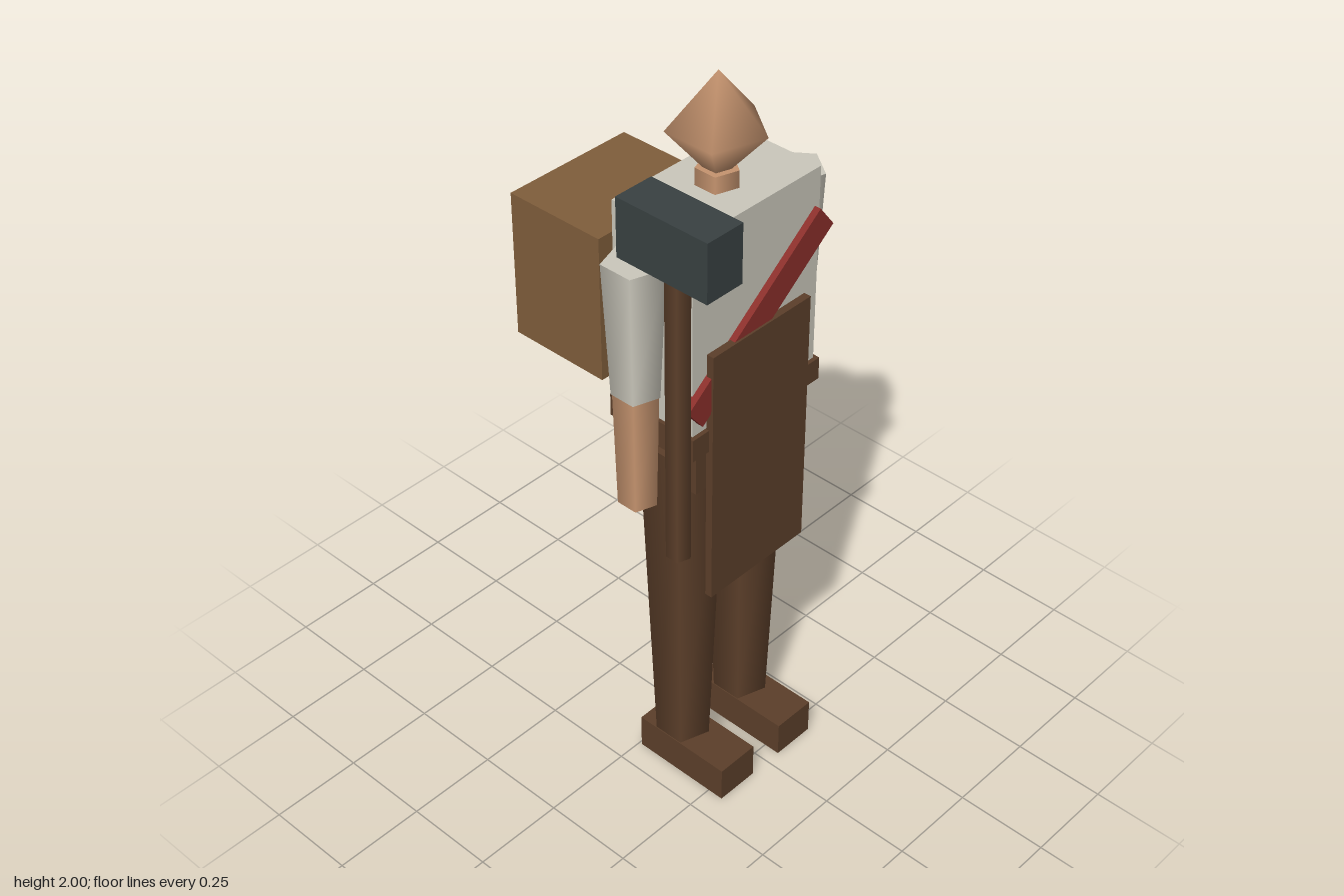
import * as THREE from 'three';

const material = (name, color) => {
  const m = new THREE.MeshStandardMaterial({ color });
  m.name = name;
  return m;
};

export function createModel() {
  const skin = material('skin', 0xc6946f);
  const shirt = material('linen', 0xcbc8bc);
  const leather = material('dark leather', 0x5c3f2a);
  const canvas = material('pack canvas', 0x805e3b);
  const red = material('red sash', 0x8b2f2b);
  const iron = material('iron', 0x394142);
  const brass = material('brass', 0x87673a);

  const model = new THREE.Group();
  model.name = 'smith';
  const CX = -0.008, CZ = 0.104; // body axis

  const add = (name, geometry, mat, x, y, z) => {
    const mesh = new THREE.Mesh(geometry, mat);
    mesh.name = name;
    mesh.position.set(x, y, z);
    model.add(mesh);
    return mesh;
  };
  // box given by its extents
  const box = (name, mat, x0, x1, y0, y1, z0, z1) =>
    add(name, new THREE.BoxGeometry(x1 - x0, y1 - y0, z1 - z0), mat,
      (x0 + x1) / 2, (y0 + y1) / 2, (z0 + z1) / 2);
  // five-sided tapered limb with one corner toward +x
  const limb = (name, mat, x, z, y0, y1, rBottom, rTop) =>
    add(name, new THREE.CylinderGeometry(rTop, rBottom, y1 - y0, 5, 1, false, Math.PI / 2),
      mat, x, (y0 + y1) / 2, z);
  // five-sided double pyramid with one corner toward +x
  const gem = (name, mat, x, y, z, r, ry) => {
    const g = new THREE.SphereGeometry(r, 5, 2, Math.PI);
    return add(name, g, mat, x, y, z).scale.set(1, ry / r, 1);
  };

  // Head and trunk
  gem('head', skin, CX - 0.001, 1.86, CZ, 0.121, 0.14);
  limb('neck', skin, CX, CZ, 1.69, 1.76, 0.053, 0.053);
  box('torso', shirt, -0.22, 0.204, 1.17, 1.715, -0.019, 0.226);
  box('belt', leather, -0.23, 0.214, 1.118, 1.18, -0.028, 0.237);
  box('hips', leather, -0.188, 0.174, 0.98, 1.125, 0, 0.208);

  // Arms, legs and boots
  for (const [side, s] of [['left', 1], ['right', -1]]) {
    const armX = CX + s * 0.2675, legX = CX + s * 0.111;
    limb(side + 'Sleeve', shirt, armX, CZ, 1.28, 1.637, 0.06, 0.077);
    limb(side + 'Forearm', skin, armX, CZ, 0.96, 1.285, 0.049, 0.057);
    limb(side + 'Leg', leather, legX, CZ, 0.09, 1.06, 0.072, 0.108);
    box(side + 'Boot', leather, legX - 0.061, legX + 0.061, 0, 0.1, 0.008, 0.295);
  }

  // Apron, sash and brooch
  box('apron', leather, -0.176, 0.158, 0.672, 1.392, 0.229, 0.249);
  const sash = add('sash', new THREE.BoxGeometry(0.558, 0.078, 0.021), red, CX, 1.413, 0.233);
  sash.rotation.z = THREE.MathUtils.degToRad(38);
  gem('brooch', brass, -0.202, 1.602, 0.224, 0.041, 0.04);

  // Backpack
  box('backpack', canvas, -0.198, 0.18, 1.172, 1.57, -0.374, -0.086);

  // Hammer
  limb('hammerHandle', leather, -0.278, 0.237, 0.868, 1.69, 0.031, 0.031);
  box('hammerHead', iron, -0.331, -0.221, 1.673, 1.827, 0.104, 0.37);

  return model;
}
